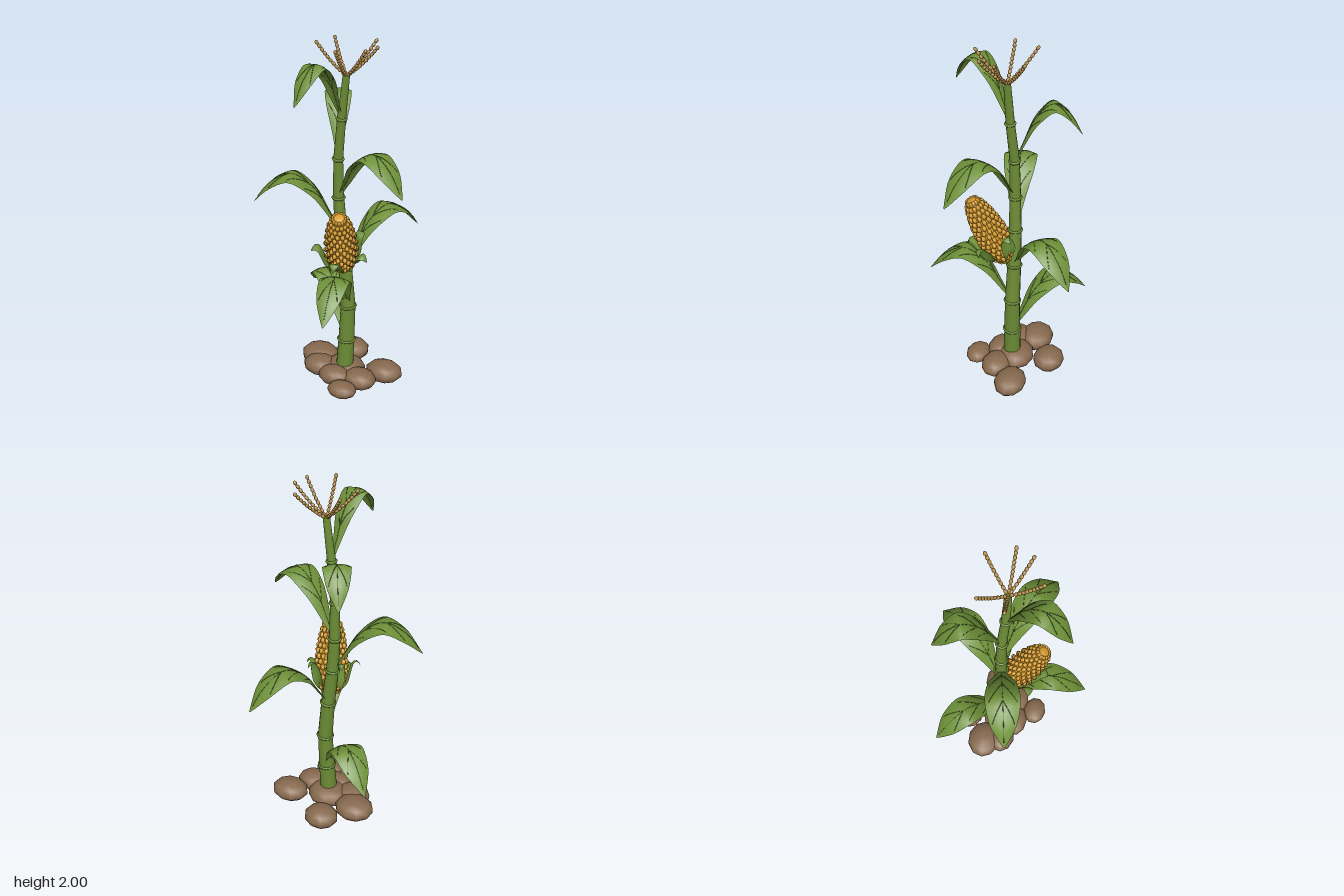
import * as THREE from 'three';
import { mergeGeometries } from 'three/addons/utils/BufferGeometryUtils.js';

const V = (x, y, z) => new THREE.Vector3(x, y, z);
const UP = V(0, 1, 0);

function material(name, color, side = THREE.FrontSide) {
  const m = new THREE.MeshStandardMaterial({ color, side });
  m.name = name;
  return m;
}

// Open surface from a rule point(t, s), t in 0..1 and s in -1..1
function sheet(point, nt, ns) {
  const pos = [], idx = [];
  for (let i = 0; i <= nt; i++) {
    for (let j = 0; j <= ns; j++) {
      const p = point(i / nt, (j / ns) * 2 - 1);
      pos.push(p.x, p.y, p.z);
      if (i < nt && j < ns) {
        const a = i * (ns + 1) + j, b = a + ns + 1;
        idx.push(a, a + 1, b, b, a + 1, b + 1);
      }
    }
  }
  const g = new THREE.BufferGeometry();
  g.setAttribute('position', new THREE.Float32BufferAttribute(pos, 3));
  g.setIndex(idx);
  g.computeVertexNormals();
  return g;
}

// Place a y-aligned geometry at p, turned to direction d
function place(geo, p, d) {
  const q = new THREE.Quaternion().setFromUnitVectors(UP, d.clone().normalize());
  return geo.applyQuaternion(q).translate(p.x, p.y, p.z);
}

// Blade along a curve: side vector, half-width profile and edge droop
function blade(curve, side, width, droop) {
  return (t, s) => {
    const p = curve.getPointAt(t), n = new THREE.Vector3().crossVectors(curve.getTangentAt(t), side).normalize();
    if (n.y < 0 && t < 0.5) n.negate();
    const w = width(t);
    return p.addScaledVector(side, s * w).addScaledVector(n, -droop * s * s * w);
  };
}

export function createModel() {
  const root = new THREE.Group();
  root.name = 'cornPlant';
  const stalkMat = material('stalk green', 0x6b8c35);
  const leafMat = material('leaf green', 0x6d9038, THREE.DoubleSide);
  const veinMat = material('vein green', 0x4c6628);
  const soilMat = material('soil brown', 0x87694e);
  const kernelMat = material('kernel yellow', 0xd69c2e);
  const tasselMat = material('tassel tan', 0xb58d48);
  const add = (name, geo, mat, parent = root) => {
    const m = new THREE.Mesh(geo, mat);
    m.name = name;
    parent.add(m);
    return m;
  };

  // Soil mound: flattened lumps (x, z, rx, ry, rz)
  const lumps = [
    [0, -0.235, 0.1, 0.06, 0.09], [0.26, -0.1, 0.11, 0.058, 0.09], [-0.15, -0.1, 0.115, 0.06, 0.1],
    [-0.1, 0.0, 0.105, 0.055, 0.085], [0.16, 0.03, 0.1, 0.055, 0.085], [0.115, 0.165, 0.085, 0.042, 0.07],
    [0.04, -0.04, 0.12, 0.06, 0.11], [0.02, 0.06, 0.1, 0.055, 0.075],
  ];
  add('soilMound', mergeGeometries(lumps.map(([x, z, rx, ry, rz], i) =>
    new THREE.SphereGeometry(1, 10, 7).rotateY(i * 0.7).scale(rx, ry, rz).translate(x, 0.07, z))), soilMat);

  // Stalk joints: x, y, z, radius
  const joints = [
    [0.04, 0, -0.02, 0.052], [0.053, 0.28, -0.026, 0.046], [0.06, 0.5, -0.03, 0.042], [0.04, 0.74, -0.032, 0.038],
    [0.016, 0.96, -0.027, 0.034], [0.004, 1.16, -0.022, 0.03], [0.003, 1.38, -0.018, 0.026],
    [0.028, 1.605, -0.004, 0.023], [0.056, 1.84, 0, 0.018],
  ].map(([x, y, z, r]) => ({ p: V(x, y, z), r }));
  const segments = [], rings = [];
  for (let i = 0; i < joints.length - 1; i++) {
    const a = joints[i], b = joints[i + 1], d = b.p.clone().sub(a.p);
    const mid = a.p.clone().add(b.p).multiplyScalar(0.5);
    segments.push(place(new THREE.CylinderGeometry(b.r, a.r, d.length(), 14), mid, d));
    if (i > 0) rings.push(place(new THREE.TorusGeometry(a.r, 0.008, 6, 16).rotateX(Math.PI / 2), a.p, d));
  }
  add('stalk', mergeGeometries(segments), stalkMat);
  add('stalkJoints', mergeGeometries(rings), stalkMat);

  // Long arching leaves: joint index, tip x, tip z, half width
  const leafWidth = new THREE.SplineCurve([[0, 0.1], [0.2, 0.42], [0.45, 0.88], [0.62, 1], [0.8, 0.78], [0.93, 0.34], [1, 0.03]]
    .map(([x, y]) => new THREE.Vector2(x, y)));
  const widthAt = (t) => {
    let lo = 0, hi = 1;
    for (let k = 0; k < 16; k++) {
      const m = (lo + hi) / 2;
      if (leafWidth.getPoint(m).x < t) lo = m; else hi = m;
    }
    return leafWidth.getPoint(lo).y;
  };
  const leaves = [
    [1, -0.305, -0.34, 0.088], [2, 0.135, 0.44, 0.08], [3, 0.305, -0.44, 0.088], [4, -0.44, 0.11, 0.09],
    [5, 0.437, 0.17, 0.086], [6, -0.145, -0.325, 0.07], [7, -0.06, 0.33, 0.066],
  ];
  for (const [j, tx, tz, hw] of leaves) {
    const base = joints[j].p, out = V(tx - base.x, 0, tz - base.z);
    const curve = new THREE.CatmullRomCurve3([[0, 0], [0.12, 0.1], [0.3, 0.24], [0.56, 0.32], [0.81, 0.26], [1, 0.145]]
      .map(([u, h]) => base.clone().addScaledVector(out, u).add(V(0, h, 0))));
    const side = V(out.z, 0, -out.x).normalize();
    const point = blade(curve, side, (t) => hw * widthAt(t), 0.2);
    const leaf = new THREE.Group();
    leaf.name = 'leaf';
    add('leafBlade', sheet(point, 24, 6), leafMat, leaf);
    // Midrib and paired side veins
    const vein = (f, n) => new THREE.TubeGeometry(new THREE.CatmullRomCurve3(
      Array.from({ length: n + 1 }, (_, i) => point(...f(i / n)))), n * 2, 0.0016, 4);
    const veins = [vein((k) => [0.05 + k * 0.9, 0], 14)];
    for (const t0 of [0.28, 0.45, 0.62]) {
      for (const s of [-1, 1]) veins.push(vein((k) => [t0 + 0.18 * k, s * 0.8 * k], 5));
    }
    add('leafVeins', mergeGeometries(veins), veinMat, leaf);
    root.add(leaf);
  }

  // Cob: built upright at the origin, then tilted away from the stalk
  const ear = new THREE.Group();
  ear.name = 'ear';
  const bottom = V(0.045, 0.775, 0.015), axis = V(0.105, 1.15, 0.185).sub(bottom), len = axis.length();
  const cobProfile = [[0, 0.035], [0.08, 0.058], [0.25, 0.075], [0.45, 0.077], [0.7, 0.066], [0.9, 0.048], [1, 0.025]];
  const cobCurve = new THREE.SplineCurve(cobProfile.map(([h, r]) => new THREE.Vector2(r, h * len)));
  add('cobCore', new THREE.LatheGeometry([new THREE.Vector2(0, 0), ...cobCurve.getPoints(16), new THREE.Vector2(0, len)], 14), kernelMat, ear);
  const kernels = [], rows = 15, around = 14;
  for (let i = 0; i < rows; i++) {
    const c = cobCurve.getPointAt((i + 0.5) / rows);
    for (let k = 0; k < around; k++) {
      const size = Math.max(0.009, c.x * 0.235);
      kernels.push(new THREE.SphereGeometry(1, 7, 5).scale(0.012, 0.0165, size)
        .translate(0, c.y, c.x).rotateY(((k + (i % 2) / 2) / around) * Math.PI * 2));
    }
  }
  add('kernels', mergeGeometries(kernels), kernelMat, ear);

  // Husk leaves hugging the cob and curling outward
  for (let k = 0; k < 5; k++) {
    const a = (k / 5) * Math.PI * 2 + 0.15;
    const curve = new THREE.CatmullRomCurve3([[0.02, -0.01], [0.078, 0.06], [0.098, 0.13], [0.118, 0.175], [0.145, 0.18], [0.162, 0.15]]
      .map(([r, y]) => V(Math.sin(a) * r, y, Math.cos(a) * r)));
    const width = (t) => 0.042 * Math.pow(Math.sin(Math.PI * Math.min(1, 0.08 + t * 0.915)), 0.8);
    add('husk', sheet(blade(curve, V(Math.cos(a), 0, -Math.sin(a)), width, 0.25), 14, 4), leafMat, ear);
  }
  ear.quaternion.setFromUnitVectors(UP, axis.normalize());
  ear.position.copy(bottom);
  root.add(ear);

  // Tassel: beaded sprays from the stalk top
  const top = V(0.056, 1.83, 0);
  const tips = [[-0.06, -0.11], [0.155, -0.13], [0.215, -0.005], [0.19, 0.08], [0.07, 0.155], [-0.095, 0.022]];
  const beads = [], stems = [];
  for (const [x, z] of tips) {
    const tip = V(x, 1.985, z), bend = top.clone().lerp(tip, 0.5);
    bend.y = 1.885;
    const curve = new THREE.QuadraticBezierCurve3(top, bend, tip);
    stems.push(new THREE.TubeGeometry(curve, 10, 0.004, 5));
    for (let i = 1; i <= 10; i++) {
      beads.push(place(new THREE.SphereGeometry(1, 7, 5).scale(0.0095, 0.0125, 0.0095), curve.getPointAt(i / 10), curve.getTangentAt(i / 10)));
    }
  }
  add('tasselStems', mergeGeometries(stems), tasselMat);
  add('tasselSeeds', mergeGeometries(beads), tasselMat);
  return root;
}
